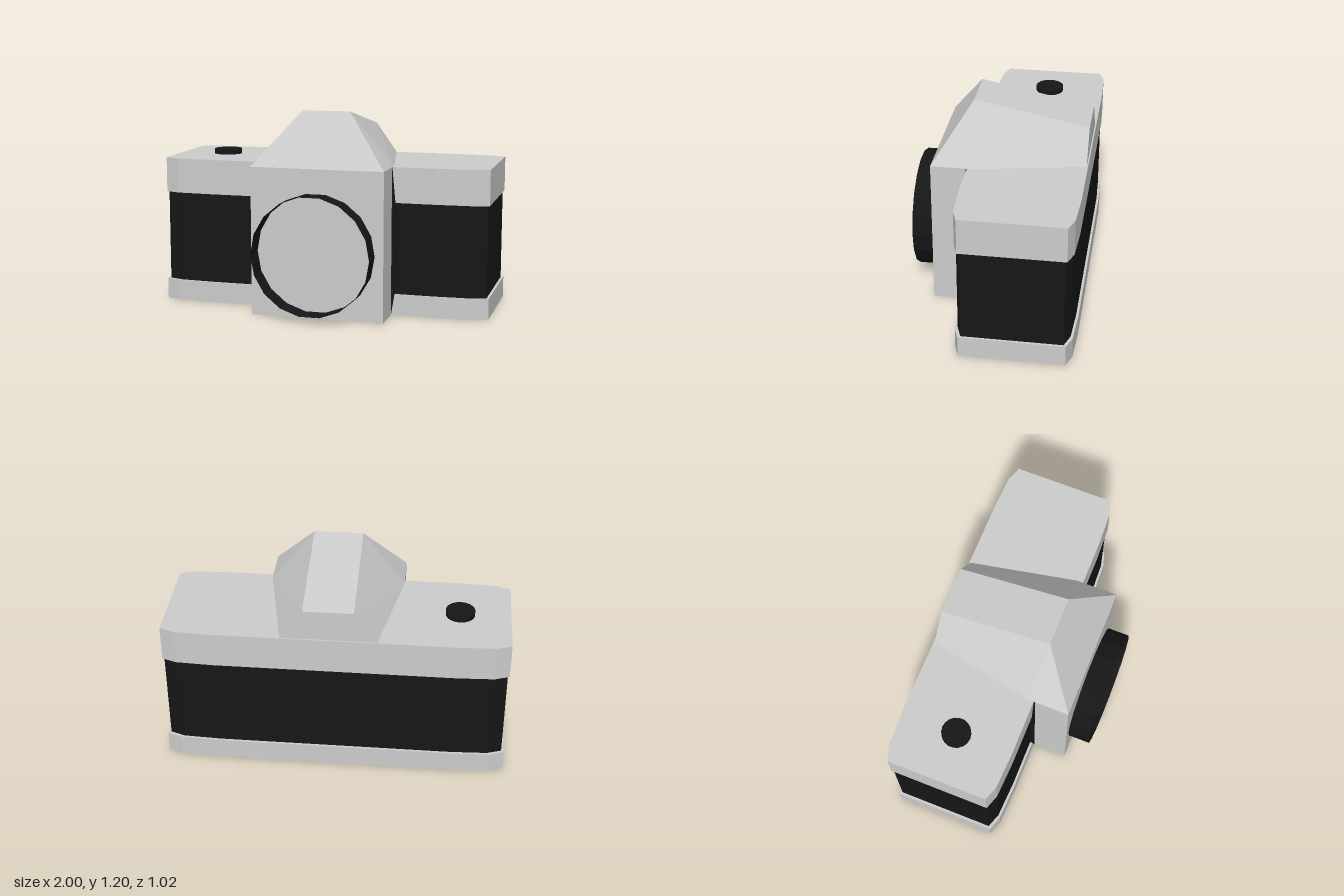
import * as THREE from 'three';
import { ConvexGeometry } from 'three/addons/geometries/ConvexGeometry.js';

const grey = new THREE.MeshStandardMaterial({ color: 0xcccccc, flatShading: true });
const black = new THREE.MeshStandardMaterial({ color: 0x161616, flatShading: true });
const blackThin = new THREE.MeshStandardMaterial({ color: 0x161616, flatShading: true, side: THREE.DoubleSide });

export function createModel() {
  const model = new THREE.Group();
  model.name = 'camera';

  const add = (name, geometry, material, x = 0, y = 0, z = 0) => {
    const mesh = new THREE.Mesh(geometry, material);
    mesh.name = name;
    mesh.position.set(x, y, z);
    model.add(mesh);
    return mesh;
  };

  // Horizontal slab with softly chamfered corners, shared by body and plates
  const midZ = -0.17;
  const slab = (name, y0, y1, halfX, halfZ, material) => {
    const quarter = [[halfX, halfZ - 0.04], [halfX - 0.085, halfZ - 0.01], [halfX - 0.3, halfZ]];
    const back = [...quarter].reverse();
    const outline = [
      ...quarter,
      ...back.map(([x, z]) => [-x, z]),
      ...quarter.map(([x, z]) => [-x, -z]),
      ...back.map(([x, z]) => [x, -z]),
    ].map(([x, z]) => new THREE.Vector2(x, z));
    const geometry = new THREE.ExtrudeGeometry(new THREE.Shape(outline), { depth: y1 - y0, bevelEnabled: false });
    geometry.rotateX(Math.PI / 2);
    add(name, geometry, material, 0, y1, midZ);
  };
  slab('bottomPlate', 0, 0.125, 1, 0.342, grey);
  slab('bodyGrip', 0.125, 0.67, 0.985, 0.328, black);
  slab('topPlate', 0.67, 0.88, 0.995, 0.338, grey);

  // Dark tapered seam between the plates and the lens block
  const seam = new THREE.Shape([
    [0.43, 0.002], [0.45, 0.125], [0.45, 0.67], [0.43, 0.878],
    [-0.365, 0.878], [-0.395, 0.67], [-0.395, 0.125], [-0.365, 0.002],
  ].map(([x, y]) => new THREE.Vector2(x, y)));
  add('lensBlockSeam', new THREE.ExtrudeGeometry(seam, { depth: 0.05, bevelEnabled: false }), black, 0, 0, 0.126);

  // Lens block, standing forward of the body
  add('lensBlock', new THREE.BoxGeometry(0.795, 0.88, 0.33), grey, 0.0325, 0.44, 0.215);

  // Viewfinder hump: wide at the front, tapering and sloping down to the back
  const hump = [
    [-0.365, 0.88, 0.38], [0.43, 0.88, 0.38],
    [-0.365, 0.88, 0.13], [0.43, 0.88, 0.13],
    [-0.245, 0.88, -0.5], [0.305, 0.88, -0.5],
    [-0.113, 1.195, 0.165], [0.175, 1.195, 0.165],
    [-0.113, 1.063, -0.5], [0.175, 1.063, -0.5],
  ].map((p) => new THREE.Vector3(...p));
  add('viewfinderHump', new ConvexGeometry(hump), grey);

  // Open lens ring
  const ring = new THREE.CylinderGeometry(0.352, 0.352, 0.132, 18, 1, true, Math.PI / 2);
  ring.rotateX(Math.PI / 2);
  add('lensRing', ring, blackThin, 0.027, 0.388, 0.445);

  // Shutter button
  add('shutterButton', new THREE.CylinderGeometry(0.085, 0.085, 0.04, 18), black, -0.702, 0.89, -0.17);

  return model;
}
